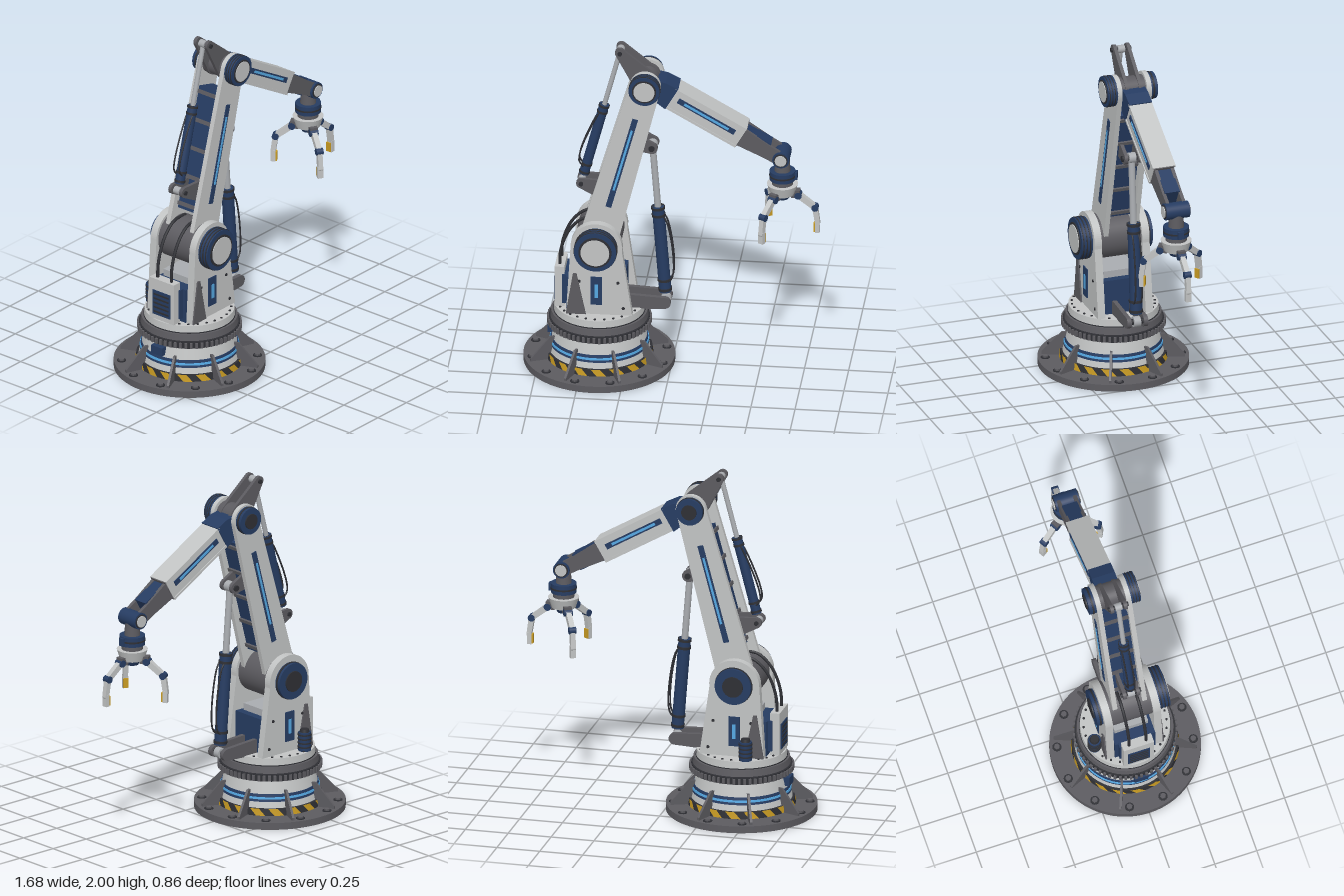
import * as THREE from 'three';

const mat = (name, color) => Object.assign(new THREE.MeshStandardMaterial({ color }), { name });

export function createModel() {
  const white = mat('paleShell', 0xc2c4c4), grey = mat('darkGrey', 0x5c5b60), blue = mat('navy', 0x263c62);
  const glow = mat('lightBlue', 0x55a8e2), yellow = mat('hazardYellow', 0xc79a22);
  const black = mat('nearBlack', 0x2e2f34), steel = mat('steel', 0xa9acb0);
  const root = new THREE.Group();
  root.name = 'roboticArm';

  // ---- helpers ----
  const group = (name, parent, x = 0, y = 0, z = 0, rz = 0) => {
    const g = new THREE.Group();
    g.name = name; g.position.set(x, y, z); g.rotation.z = rz;
    parent.add(g);
    return g;
  };
  const add = (p, name, geo, m, x = 0, y = 0, z = 0) => {
    const o = new THREE.Mesh(geo, m);
    o.name = name; o.position.set(x, y, z);
    p.add(o);
    return o;
  };
  const box = (p, name, m, w, h, d, x, y, z = 0) => add(p, name, new THREE.BoxGeometry(w, h, d), m, x, y, z);
  // upright cylinder between two heights
  const drum = (p, name, m, r0, r1, y0, y1, x = 0, z = 0, n = 48) =>
    add(p, name, new THREE.CylinderGeometry(r1, r0, y1 - y0, n), m, x, (y0 + y1) / 2, z);
  // cylinder along z
  const pin = (p, name, m, r, z0, z1, x, y, n = 36) =>
    add(p, name, new THREE.CylinderGeometry(r, r, z1 - z0, n).rotateX(Math.PI / 2), m, x, y, (z0 + z1) / 2);
  // cylinder between two points in the xy plane
  const rod = (p, name, m, r, a, b, z = 0, n = 20) => {
    const dx = b[0] - a[0], dy = b[1] - a[1];
    const o = add(p, name, new THREE.CylinderGeometry(r, r, Math.hypot(dx, dy), n), m, (a[0] + b[0]) / 2, (a[1] + b[1]) / 2, z);
    o.rotation.z = Math.atan2(dy, dx) - Math.PI / 2;
  };
  const plate = (p, name, m, shape, z0, z1) =>
    add(p, name, new THREE.ExtrudeGeometry(shape, { depth: z1 - z0, bevelEnabled: false, curveSegments: 20 }), m, 0, 0, z0);
  const poly = pts => new THREE.Shape(pts.map(q => new THREE.Vector2(q[0], q[1])));
  // rounded tapering link outline along x
  const link = (r0, r1, L) => {
    const a = Math.acos((r0 - r1) / L), s = new THREE.Shape();
    s.absarc(L, 0, r1, -a, a, false);
    s.absarc(0, 0, r0, a, 2 * Math.PI - a, false);
    return s;
  };
  const linkBetween = (p, name, m, a, b, r0, r1, zs, t) => {
    const g = group(name, p, a[0], a[1], 0, Math.atan2(b[1] - a[1], b[0] - a[0]));
    zs.forEach(z => plate(g, name + 'Plate', m, link(r0, r1, Math.hypot(b[0] - a[0], b[1] - a[1])), z - t / 2, z + t / 2));
  };
  const ring = (n, off, fn) => { for (let i = 0; i < n; i++) fn((i + off) / n * Math.PI * 2, i); };

  const CX = -0.413, S = [CX, 0.79], E = [-0.143, 1.79];

  // ---- pedestal ----
  const base = group('pedestal', root, CX);
  drum(base, 'floorFlange', grey, 0.428, 0.428, 0, 0.04, 0, 0, 64);
  drum(base, 'pedestalCone', white, 0.296, 0.25, 0.04, 0.24, 0, 0, 64);
  drum(base, 'blueBand', blue, 0.281, 0.273, 0.115, 0.158, 0, 0, 64);
  drum(base, 'lightBand', glow, 0.282, 0.28, 0.13, 0.142, 0, 0, 64);
  drum(base, 'hazardBacking', black, 0.305, 0.3, 0.04, 0.08, 0, 0, 64);
  ring(18, 0, a => {
    const g = new THREE.CylinderGeometry(0.302, 0.307, 0.04, 5, 1, true, a, Math.PI / 18);
    const v = g.attributes.position;
    for (let i = 0; i < v.count; i++) { // slant the stripe
      const x = v.getX(i), z = v.getZ(i), t = v.getY(i) * 3;
      v.setXYZ(i, x * Math.cos(t) - z * Math.sin(t), v.getY(i), x * Math.sin(t) + z * Math.cos(t));
    }
    g.computeVertexNormals();
    add(base, 'hazardStripe', g, yellow, 0, 0.061, 0);
  });
  ring(8, 0.5, a => {
    const g = group('gusset', base);
    g.rotation.y = a;
    plate(g, 'gussetPlate', grey, poly([[0.26, 0.04], [0.405, 0.04], [0.405, 0.055], [0.29, 0.18], [0.26, 0.18]]), -0.007, 0.007);
  });
  ring(12, 0.5, a => {
    const x = 0.385 * Math.cos(a), z = 0.385 * Math.sin(a);
    drum(base, 'washer', black, 0.026, 0.026, 0.04, 0.044, x, z, 16);
    drum(base, 'anchorBolt', grey, 0.017, 0.017, 0.04, 0.054, x, z, 6);
  });
  box(base, 'connector', blue, 0.05, 0.05, 0.08, -0.265, 0.195);
  drum(base, 'gearRing', black, 0.285, 0.285, 0.238, 0.278, 0, 0, 64);
  ring(60, 0, a => { box(base, 'gearTooth', grey, 0.02, 0.032, 0.015, 0.286 * Math.cos(a), 0.258, 0.286 * Math.sin(a)).rotation.y = -a; });
  drum(base, 'bearingRing', grey, 0.277, 0.272, 0.282, 0.32, 0, 0, 64);
  drum(base, 'bearingGap', black, 0.26, 0.26, 0.275, 0.325);
  drum(base, 'turntable', white, 0.257, 0.254, 0.32, 0.365, 0, 0, 64);
  ring(28, 0, a => drum(base, 'turntableBolt', black, 0.007, 0.007, 0.36, 0.37, 0.235 * Math.cos(a), 0.235 * Math.sin(a), 8));

  // ---- tower ----
  const tower = group('tower', root);
  const cheek = new THREE.Shape();
  cheek.moveTo(-0.585, 0.365); cheek.lineTo(-0.21, 0.365); cheek.lineTo(-0.268, 0.77);
  cheek.absarc(S[0], S[1], 0.146, 0, Math.PI, false);
  for (const s of [1, -1]) {
    const at = (z, t) => [s * z - t / 2, s * z + t / 2];
    plate(tower, 'towerCheek', white, cheek, ...at(0.143, 0.044));
    plate(tower, 'cheekGusset', grey, poly([[-0.585, 0.365], [-0.472, 0.365], [-0.525, 0.62], [-0.545, 0.62]]), ...at(0.168, 0.012));
    box(tower, 'cheekPanel', blue, 0.065, 0.175, 0.008, CX, 0.515, s * 0.167);
    box(tower, 'cheekLight', glow, 0.02, 0.085, 0.008, CX, 0.515, s * 0.17);
    for (const [x, y] of [[-0.29, 0.57], [-0.26, 0.41], [-0.51, 0.57]]) pin(tower, 'cheekBolt', black, 0.009, ...at(0.166, 0.008), x, y, 8);
  }
  box(tower, 'towerCore', blue, 0.33, 0.205, 0.24, -0.425, 0.467);
  box(tower, 'towerCoreCap', steel, 0.22, 0.04, 0.2, CX, 0.59);
  pin(tower, 'shoulderAxle', grey, 0.13, -0.122, 0.122, ...S);
  // control cabinet with vents
  box(tower, 'cabinet', white, 0.055, 0.25, 0.18, -0.63, 0.49);
  box(tower, 'cabinetMount', blue, 0.04, 0.18, 0.2, -0.595, 0.48);
  box(tower, 'cabinetPanel', blue, 0.008, 0.15, 0.13, -0.658, 0.47);
  for (let i = 0; i < 5; i++) box(tower, 'vent', black, 0.008, 0.01, 0.11, -0.661, 0.415 + i * 0.027);
  // side motor
  drum(tower, 'sideMotor', blue, 0.036, 0.036, 0.365, 0.475, -0.49, -0.208, 24);
  for (let i = 0; i < 4; i++) drum(tower, 'motorFin', black, 0.04, 0.04, 0.385 + i * 0.024, 0.393 + i * 0.024, -0.49, -0.208, 24);
  drum(tower, 'motorCap', black, 0.028, 0.024, 0.475, 0.492, -0.49, -0.208, 24);

  // joint covers: deep one with pale cap in front, shallow one behind
  const joint = (p, name, c, r, zf, df, zb, db) => {
    pin(p, name + 'Cover', blue, r, zf, zf + df * 0.88, ...c);
    for (const k of [0.2, 0.45, 0.7]) pin(p, name + 'Rib', black, r * 1.025, zf + df * k, zf + df * (k + 0.08), ...c);
    pin(p, name + 'Bezel', black, r * 0.78, zf, zf + df * 0.95, ...c);
    pin(p, name + 'Cap', white, r * 0.68, zf, zf + df, ...c);
    pin(p, name + 'RearCover', blue, r * 0.88, zb - db * 0.85, zb, ...c);
    pin(p, name + 'RearRib', black, r * 0.91, zb - db * 0.5, zb - db * 0.3, ...c);
    pin(p, name + 'RearCap', black, r * 0.5, zb - db, zb, ...c);
  };
  joint(tower, 'shoulder', S, 0.12, 0.16, 0.08, -0.16, 0.047);

  // ---- upper arm, built along its own x axis ----
  const L = Math.hypot(E[0] - S[0], E[1] - S[1]);
  const upper = group('upperArm', root, S[0], S[1], 0, Math.atan2(E[1] - S[1], E[0] - S[0]));
  for (const s of [1, -1]) {
    plate(upper, 'armPlate', white, link(0.11, 0.088, L), s * 0.088 - 0.014, s * 0.088 + 0.014);
    box(upper, 'armPanel', blue, 0.585, 0.033, 0.008, 0.53, 0, s * 0.103);
    box(upper, 'armLight', glow, 0.4, 0.013, 0.008, 0.55, 0, s * 0.106);
  }
  box(upper, 'armWeb', blue, 0.72, 0.12, 0.15, 0.53, 0);
  for (let i = 0; i < 5; i++) box(upper, 'armRib', grey, 0.02, 0.145, 0.15, 0.2 + i * 0.165, 0);
  joint(root, 'elbow', E, 0.088, 0.1, 0.065, -0.1, 0.05);
  pin(root, 'elbowAxle', grey, 0.07, -0.1, 0.1, ...E);

  // ---- pistons and levers ----
  const piston = (name, a, b, k, r, rr) => {
    const g = group(name, root), at = t => [a[0] + (b[0] - a[0]) * t, a[1] + (b[1] - a[1]) * t];
    rod(g, 'rod', steel, rr, at(k), b);
    rod(g, 'barrel', blue, r, at(0.05), at(k), 0, 28);
    for (const t of [0.06, 0.12, k - 0.06, k - 0.015]) rod(g, 'collar', black, r * 1.12, at(t), at(t + 0.015), 0, 28);
    for (const q of [a, b]) {
      pin(g, 'eye', steel, rr * 1.6, -0.02, 0.02, ...q, 20);
      pin(g, 'pivotPin', black, rr * 0.9, -0.06, 0.06, ...q, 16);
    }
    for (const z of [-0.02, 0.02]) { // hydraulic line beside the barrel
      const o = r * 1.3 * Math.sign(a[0] + 0.3), p = at(0.1), q = at(k - 0.03);
      const c = new THREE.CatmullRomCurve3([new THREE.Vector3(...p, z), new THREE.Vector3(p[0] + o, p[1] + 0.05, z),
        new THREE.Vector3(q[0] + o, q[1] - 0.05, z), new THREE.Vector3(...q, z)]);
      add(g, 'hydraulicLine', new THREE.TubeGeometry(c, 20, 0.005, 6), black);
    }
  };
  piston('frontPiston', [-0.035, 0.4], [-0.112, 1.375], 0.6, 0.035, 0.019);
  piston('rearPiston', [-0.512, 1.13], [-0.292, 1.97], 0.58, 0.028, 0.014);
  linkBetween(root, 'elbowLever', grey, E, [-0.292, 1.972], 0.075, 0.028, [-0.04, 0.04], 0.02);
  linkBetween(root, 'frontLowerBracket', grey, [-0.25, 0.4], [-0.037, 0.4], 0.045, 0.034, [-0.05, 0.05], 0.025);
  linkBetween(root, 'frontUpperBracket', grey, [-0.21, 1.41], [-0.112, 1.375], 0.05, 0.034, [-0.04, 0.04], 0.02);
  linkBetween(root, 'rearBracket', grey, [-0.4, 1.1], [-0.51, 1.13], 0.055, 0.03, [-0.04, 0.04], 0.02);

  // ---- cables from cabinet to shoulder ----
  for (const z of [0.05, -0.05]) {
    const pts = [[-0.632, 0.57], [-0.625, 0.71], [-0.57, 0.845], [-0.49, 0.915], [-0.39, 0.92]];
    const c = new THREE.CatmullRomCurve3(pts.map(q => new THREE.Vector3(q[0], q[1], z)));
    add(root, 'cable', new THREE.TubeGeometry(c, 32, 0.009, 8), black);
  }

  // ---- forearm ----
  const fore = group('forearm', root, E[0], E[1], 0, -Math.PI / 6);
  plate(fore, 'forearmRoot', blue, poly([[0.03, -0.055], [0.17, -0.075], [0.17, 0.075], [0.09, 0.07], [0.03, 0.05]]), -0.068, 0.068);
  box(fore, 'forearmShell', white, 0.465, 0.138, 0.126, 0.39, 0);
  for (const y of [-0.062, 0.062]) box(fore, 'forearmEdge', white, 0.465, 0.014, 0.136, 0.39, y);
  for (const x of [0.16, 0.62]) box(fore, 'forearmCollar', grey, 0.014, 0.13, 0.118, x, 0);
  for (const s of [1, -1]) {
    box(fore, 'forearmPanel', blue, 0.37, 0.032, 0.008, 0.39, 0.012, s * 0.064);
    box(fore, 'forearmLight', glow, 0.29, 0.014, 0.008, 0.39, 0.012, s * 0.067);
    plate(fore, 'wristFork', grey, poly([[0.6, -0.058], [0.79, -0.042], [0.88, -0.04], [0.88, 0.04], [0.79, 0.042], [0.6, 0.058]]), s * 0.048 - 0.01, s * 0.048 + 0.01);
  }
  box(fore, 'forearmTongue', blue, 0.18, 0.1, 0.09, 0.7, 0);

  // ---- wrist ----
  const W = [0.622, 1.35];
  pin(root, 'wristAxle', blue, 0.048, -0.07, 0.07, ...W);
  for (const s of [1, -1]) {
    pin(root, 'wristBezel', black, 0.04, s * 0.07 - 0.004, s * 0.07 + 0.004, ...W);
    pin(root, 'wristCap', white, 0.033, s * 0.073 - 0.006, s * 0.073 + 0.006, ...W);
  }
  const hand = group('gripper', root, 0.625);
  drum(hand, 'wristNeck', grey, 0.045, 0.04, 1.25, 1.34);
  drum(hand, 'rotator', blue, 0.073, 0.073, 1.2, 1.255);
  drum(hand, 'rotatorBand', black, 0.075, 0.075, 1.222, 1.232);
  box(hand, 'sensor', blue, 0.03, 0.045, 0.035, 0.07, 1.227);
  drum(hand, 'palmNeck', grey, 0.06, 0.06, 1.165, 1.2);
  drum(hand, 'palm', white, 0.068, 0.088, 1.11, 1.172);
  drum(hand, 'palmBase', blue, 0.035, 0.05, 1.08, 1.11);
  ring(3, 0, a => {
    const f = group('finger', hand);
    f.rotation.y = a;
    box(f, 'fingerMount', grey, 0.05, 0.045, 0.045, 0.075, 1.115);
    pin(f, 'knuckle', blue, 0.021, -0.024, 0.024, 0.09, 1.105, 20);
    linkBetween(f, 'fingerUpper', white, [0.09, 1.105], [0.185, 1.03], 0.018, 0.016, [0], 0.03);
    pin(f, 'fingerJoint', blue, 0.02, -0.02, 0.02, 0.185, 1.03, 20);
    linkBetween(f, 'fingerLower', white, [0.185, 1.03], [0.2, 0.93], 0.016, 0.014, [0], 0.028);
    box(f, 'fingerTip', white, 0.026, 0.07, 0.032, 0.198, 0.908);
    box(f, 'gripPad', yellow, 0.009, 0.055, 0.03, 0.181, 0.905);
  });

  return root;
}
